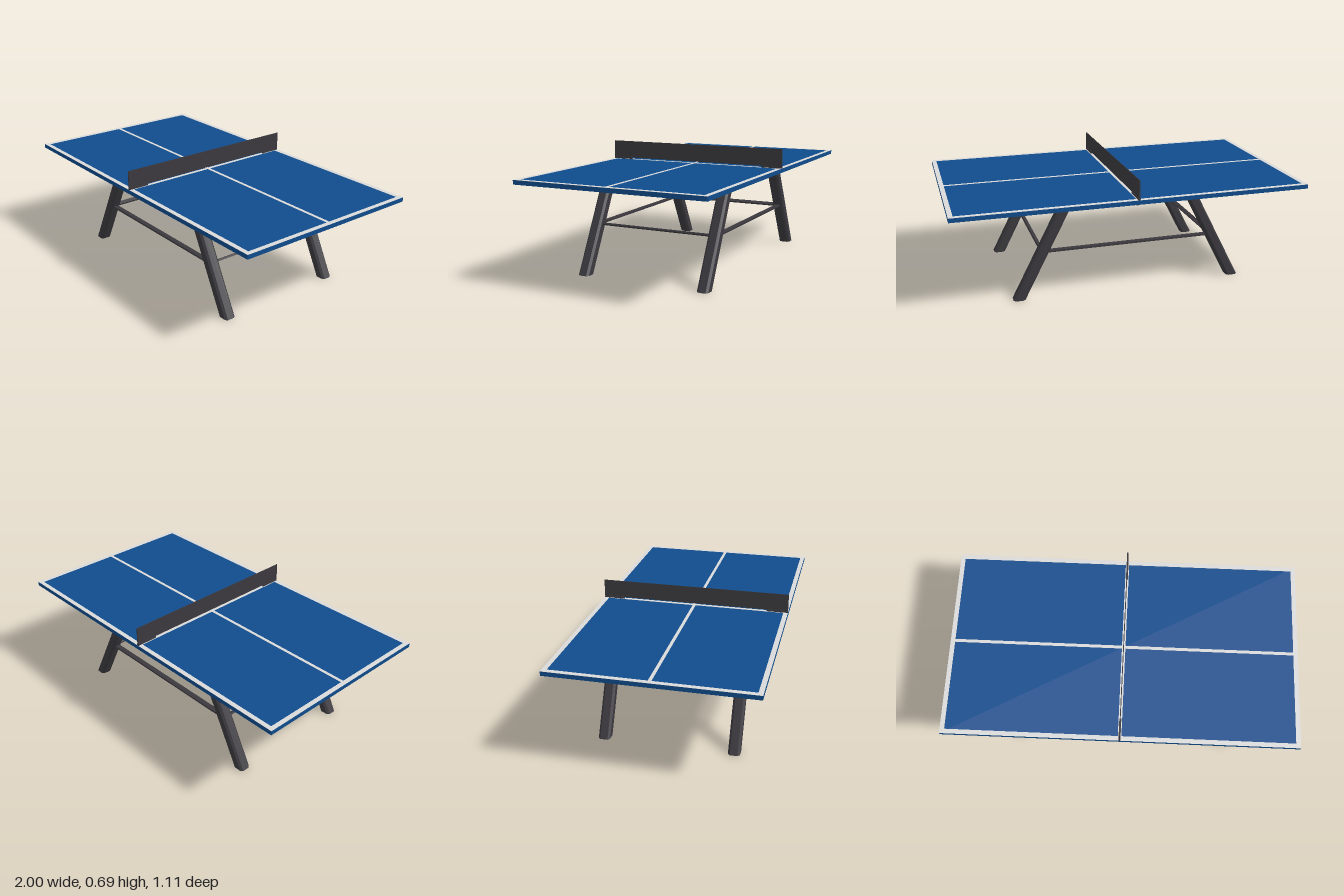
import * as THREE from 'three';

export function createModel() {
  const mat = (name, color) => {
    const m = new THREE.MeshStandardMaterial({ color });
    m.name = name;
    return m;
  };
  const blue = mat('tableBlue', 0x0f4c8c);
  const white = mat('lineWhite', 0xd9d9d9);
  const dark = mat('darkMetal', 0x3b393e);

  const root = new THREE.Group();
  root.name = 'tableTennisTable';
  const add = (name, geometry, material) => {
    const mesh = new THREE.Mesh(geometry, material);
    mesh.name = name;
    root.add(mesh);
    return mesh;
  };
  const box = (name, w, h, d, x, y, z, material) => {
    const mesh = add(name, new THREE.BoxGeometry(w, h, d), material);
    mesh.position.set(x, y, z);
    return mesh;
  };

  const W = 1, D = 0.553, TOP = 0.574, UNDER = 0.55;

  // Table top
  box('tableTop', 2 * W, TOP - UNDER, 2 * D, 0, (TOP + UNDER) / 2, 0, blue);

  // Painted lines: border with four playing fields cut out
  const lines = new THREE.Shape([[-W, -D], [W, -D], [W, D], [-W, D]].map(p => new THREE.Vector2(...p)));
  for (const sx of [-1, 1]) for (const sz of [-1, 1]) {
    const x0 = sx * 0.01, x1 = sx * (W - 0.026), z0 = sz * 0.009, z1 = sz * (D - 0.026);
    lines.holes.push(new THREE.Path([[x0, z0], [x0, z1], [x1, z1], [x1, z0]].map(p => new THREE.Vector2(...p))));
  }
  const lineGeo = new THREE.ExtrudeGeometry(lines, { depth: 0.001, bevelEnabled: false });
  lineGeo.rotateX(-Math.PI / 2);
  add('courtLines', lineGeo, white).position.y = TOP;

  // Slanted legs: chamfered section extruded upward, then sheared
  const hw = 0.033, c = 0.012;
  const section = new THREE.Shape([
    [-hw + c, -hw], [hw - c, -hw], [hw, -hw + c], [hw, hw - c],
    [hw - c, hw], [-hw + c, hw], [-hw, hw - c], [-hw, -hw + c],
  ].map(p => new THREE.Vector2(...p)));
  const footX = 0.634, headX = 0.35, legZ = 0.366;
  const slope = (footX - headX) / UNDER;
  for (const sx of [-1, 1]) for (const sz of [-1, 1]) {
    const g = new THREE.ExtrudeGeometry(section, { depth: UNDER, bevelEnabled: false });
    g.rotateX(-Math.PI / 2);
    const p = g.attributes.position;
    for (let i = 0; i < p.count; i++) p.setX(i, p.getX(i) - sx * slope * p.getY(i));
    g.computeVertexNormals();
    add(`${sz > 0 ? 'front' : 'back'}${sx > 0 ? 'Left' : 'Right'}Leg`, g, dark)
      .position.set(sx * footX, 0, sz * legZ);
  }

  // Flat rails joining the legs
  const railY = 0.267;
  for (const s of [-1, 1]) {
    box(s > 0 ? 'frontRail' : 'backRail', 0.98, 0.01, 0.03, 0, railY, s * legZ, dark);
    box(s > 0 ? 'leftRail' : 'rightRail', 0.024, 0.01, 0.68, s * (footX - slope * railY), railY, 0, dark)
      .rotation.z = s * Math.atan(slope);
  }

  // Net
  box('net', 0.003, 0.102, 2 * D - 0.004, 0, 0.634, 0, dark);

  // Posts, brackets and curved clamps under the edge
  const hook = new THREE.Shape();
  hook.moveTo(0.435, 0.551);
  hook.lineTo(0.51, 0.551);
  hook.lineTo(0.51, 0.545);
  hook.quadraticCurveTo(0.52, 0.542, 0.526, 0.536);
  hook.lineTo(0.52, 0.534);
  hook.quadraticCurveTo(0.5, 0.544, 0.45, 0.544);
  hook.closePath();
  for (const s of [-1, 1]) {
    box('netPost', 0.007, 0.111, 0.007, 0, 0.6295, s * (D - 0.0035), dark);
    box('netBracket', 0.011, 0.011, 0.123, 0, 0.5795, s * (D - 0.0615), dark);
    const g = new THREE.ExtrudeGeometry(hook, { depth: 0.01, bevelEnabled: false, curveSegments: 6 });
    g.translate(0, 0, -0.005);
    g.rotateY(-s * Math.PI / 2);
    add('clamp', g, dark);
  }
  return root;
}
